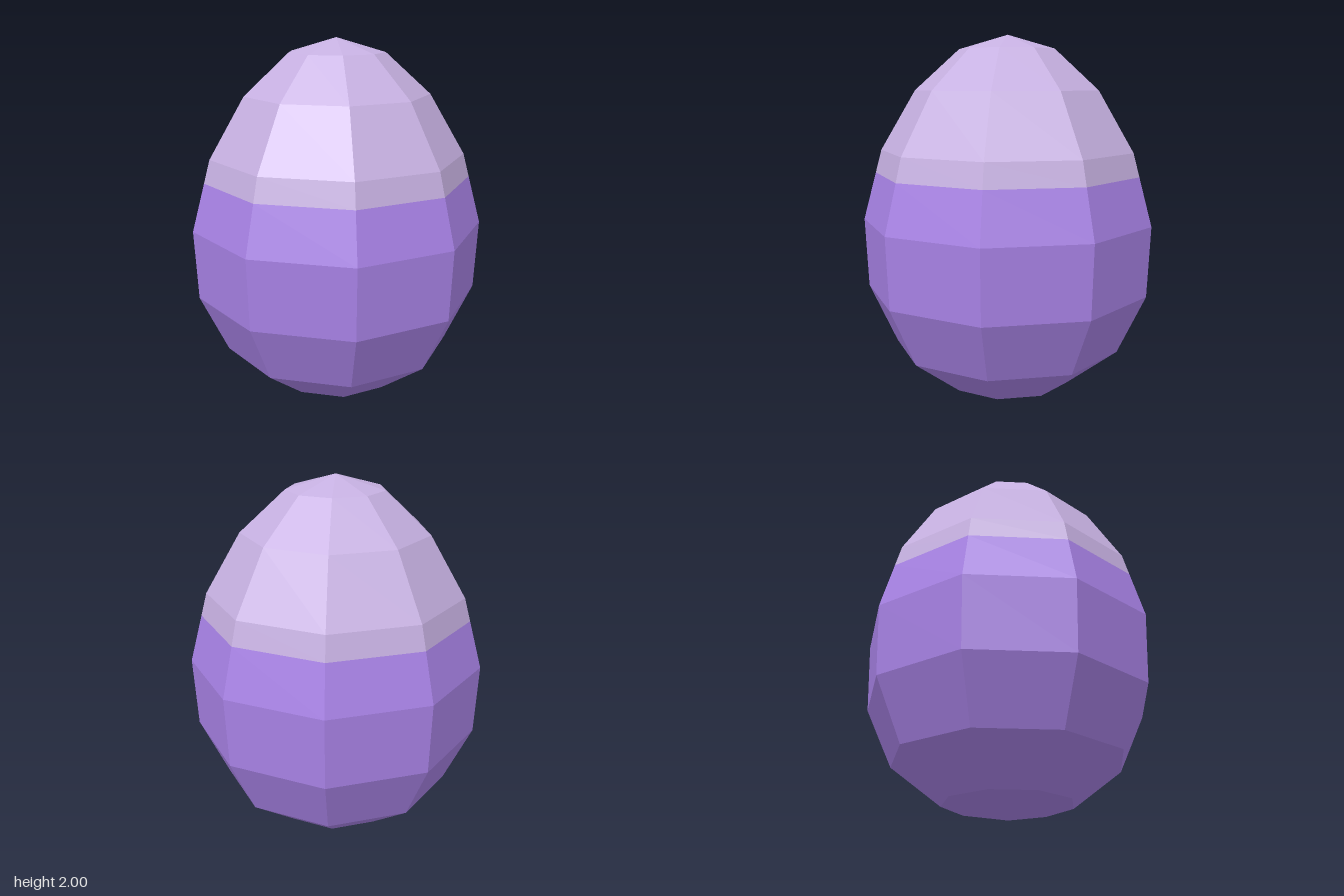
import * as THREE from 'three';

const SIDES = 9;

// Faceted band of the egg, turned from [radius, height] pairs listed bottom to top
function band(name, profile, material) {
  const points = profile.map(([r, y]) => new THREE.Vector2(r, y));
  const geometry = new THREE.LatheGeometry(points, SIDES, -Math.PI / 2).toNonIndexed();
  geometry.computeVertexNormals(); // one normal per facet
  const mesh = new THREE.Mesh(geometry, material);
  mesh.name = name;
  return mesh;
}

export function createModel() {
  const violet = new THREE.MeshStandardMaterial({ color: 0xa882e6 });
  violet.name = 'violet';
  const lavender = new THREE.MeshStandardMaterial({ color: 0xc6b0e1 });
  lavender.name = 'lavender';

  // The two colours meet part way up one row of facets
  const seam = [0.728, 1.26];

  const egg = new THREE.Group();
  egg.name = 'egg';
  egg.add(
    band('lowerShell', [
      [0, 0], [0.353, 0.078], [0.632, 0.293], [0.783, 0.618], [0.799, 1.0], seam,
    ], violet),
    band('upperShell', [
      seam, [0.694, 1.385], [0.503, 1.707], [0.262, 1.924], [0, 2],
    ], lavender),
  );
  // An odd number of sides puts the axis slightly off the middle of the width
  egg.position.x = 0.024;

  const model = new THREE.Group();
  model.add(egg);
  return model;
}
